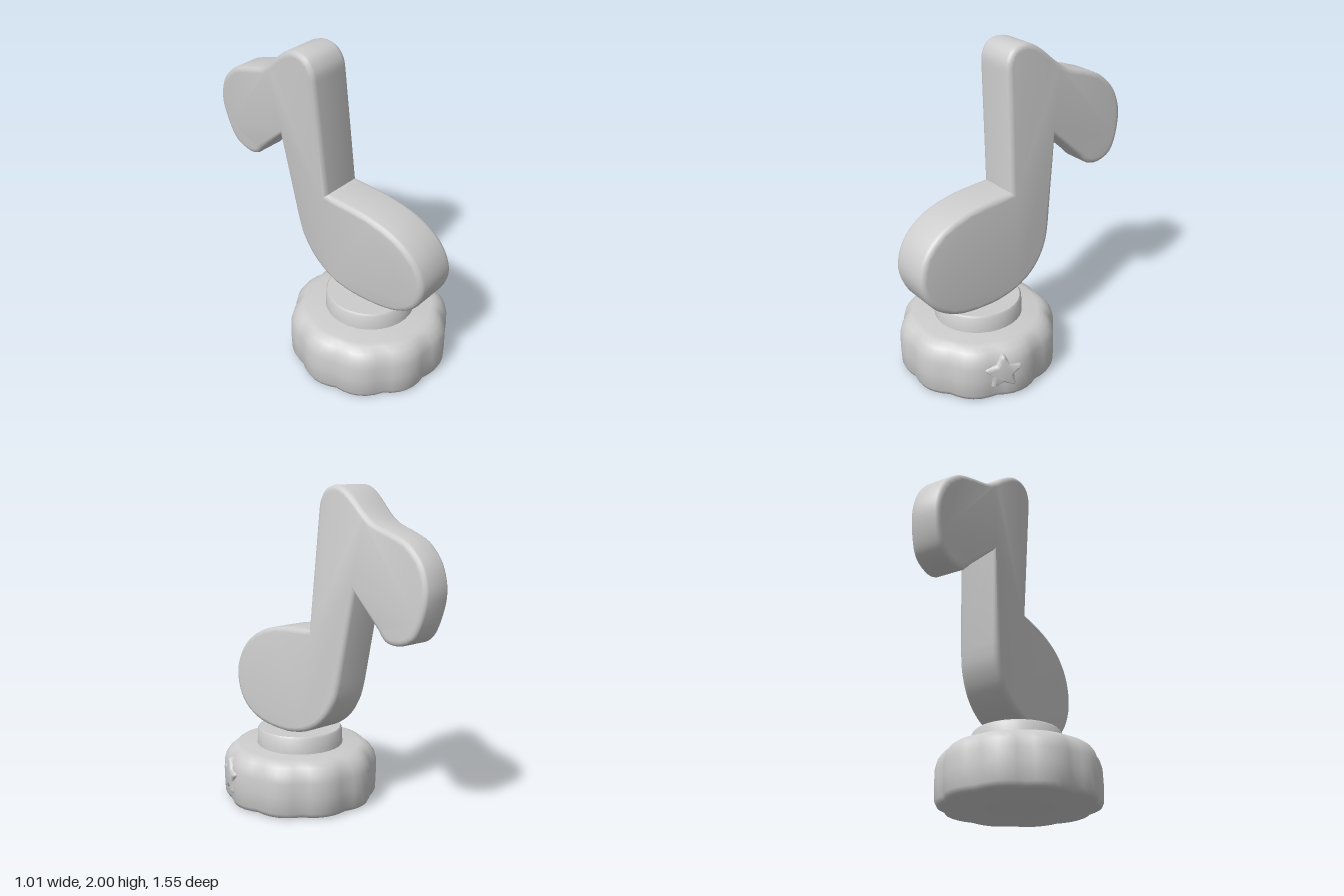
import * as THREE from 'three';
import { mergeVertices, toCreasedNormals } from 'three/addons/utils/BufferGeometryUtils.js';

const grey = new THREE.MeshStandardMaterial({ color: 0xcccccc });
grey.name = 'plain grey';

const BASE_Z = 0.275;

function part(name, geometry, crease = 0.7) {
  geometry.deleteAttribute('normal');
  geometry.deleteAttribute('uv');
  const mesh = new THREE.Mesh(toCreasedNormals(mergeVertices(geometry, 1e-5), crease), grey);
  mesh.name = name;
  return mesh;
}

const points = (list) => list.map(([x, y]) => new THREE.Vector2(x, y));

// Move every vertex by a rule
function warp(geometry, rule) {
  const p = geometry.attributes.position;
  const v = new THREE.Vector3();
  for (let i = 0; i < p.count; i++) {
    rule(v.fromBufferAttribute(p, i));
    p.setXYZ(i, v.x, v.y, v.z);
  }
  return geometry;
}

// Round base with ten soft lobes
function scallopedBase() {
  const profile = points([
    [0, 0], [0.46, 0], [0.48, 0.008], [0.493, 0.035], [0.497, 0.14], [0.495, 0.23],
    [0.482, 0.28], [0.455, 0.318], [0.42, 0.342], [0.385, 0.35], [0, 0.35],
  ]);
  const geometry = warp(new THREE.LatheGeometry(profile, 60), (v) => {
    const lobe = Math.abs(Math.sin(5 * Math.atan2(v.z, v.x)));
    const reach = THREE.MathUtils.smoothstep(Math.hypot(v.x, v.z), 0.38, 0.47);
    const k = 1 - 0.05 * reach * (1 - lobe);
    v.x *= k;
    v.z *= k;
  });
  const mesh = part('base', geometry, 0.8);
  mesh.position.z = BASE_Z;
  return mesh;
}

// Short collar between base and note
function collar() {
  const profile = points([[0.277, 0.34], [0.272, 0.445], [0.262, 0.458], [0, 0.458]]);
  const mesh = part('collar', new THREE.LatheGeometry(profile, 32));
  mesh.position.set(0.005, 0, BASE_Z - 0.005);
  return mesh;
}

// Thick note: outline in the side plane, then turned, leaned and thinned towards the flag
function note() {
  const shape = new THREE.Shape();
  shape.moveTo(0.05, 1.13);
  shape.lineTo(0.05, 1.83);
  shape.splineThru(points([
    [0.045, 1.91], [0.01, 1.975], [-0.05, 2], [-0.12, 1.99], [-0.2, 1.94], [-0.3, 1.85],
    [-0.38, 1.795], [-0.5, 1.755], [-0.62, 1.705], [-0.72, 1.61], [-0.77, 1.5], [-0.78, 1.39],
    [-0.75, 1.25], [-0.7, 1.17], [-0.61, 1.137], [-0.53, 1.15], [-0.47, 1.21],
  ]));
  shape.lineTo(-0.275, 1.4);
  shape.lineTo(-0.22, 0.84);
  shape.splineThru(points([
    [-0.195, 0.72], [-0.13, 0.6], [-0.03, 0.515], [0.1, 0.465], [0.25, 0.452], [0.45, 0.48],
    [0.6, 0.58], [0.67, 0.75], [0.63, 0.92], [0.5, 1.045], [0.3, 1.11], [0.05, 1.13],
  ]));
  const bevel = 0.12;
  const geometry = new THREE.ExtrudeGeometry(shape, {
    depth: 1 - 2 * bevel, curveSegments: 4, bevelEnabled: true, bevelSegments: 3,
    bevelThickness: bevel, bevelSize: 0.03, bevelOffset: -0.03,
  });
  warp(geometry, (v) => {
    const along = v.x;
    const taper = 1 - 0.34 * THREE.MathUtils.clamp((0.05 - along) / 0.8, 0, 1);
    const across = (v.z + bevel) * taper;
    v.set(
      0.03 + 0.42 * (along - 0.05) - 0.085 * (v.y - 1.1) - 0.265 * across,
      v.y,
      along + 0.105 * across,
    );
  });
  return part('note', geometry, 0.75);
}

// Puffy star on the side of the base
function star() {
  const corners = [];
  for (let i = 0; i < 10; i++) {
    const a = Math.PI / 2 + (i * Math.PI) / 5;
    const r = i % 2 ? 0.066 : 0.128;
    corners.push(new THREE.Vector2(Math.cos(a) * r, Math.sin(a) * r));
  }
  // Round the tips with a curve through each outer corner
  const shape = new THREE.Shape();
  for (let i = 0; i < 10; i += 2) {
    const tip = corners[i];
    const start = tip.clone().lerp(corners[(i + 9) % 10], 0.35);
    const end = tip.clone().lerp(corners[i + 1], 0.35);
    if (i) shape.lineTo(start.x, start.y);
    else shape.moveTo(start.x, start.y);
    shape.quadraticCurveTo(tip.x, tip.y, end.x, end.y);
    shape.lineTo(corners[i + 1].x, corners[i + 1].y);
  }
  shape.closePath();
  const geometry = new THREE.ExtrudeGeometry(shape, {
    depth: 0.04, curveSegments: 4, bevelEnabled: true, bevelSegments: 3,
    bevelThickness: 0.025, bevelSize: 0.022, bevelOffset: -0.018,
  });
  const mesh = part('star', geometry, 0.9);
  mesh.rotation.y = Math.PI / 2;
  mesh.position.set(0.432, 0.185, 0.24);
  return mesh;
}

export function createModel() {
  const model = new THREE.Group();
  model.name = 'musicNoteTrophy';
  model.add(scallopedBase(), collar(), note(), star());
  return model;
}
